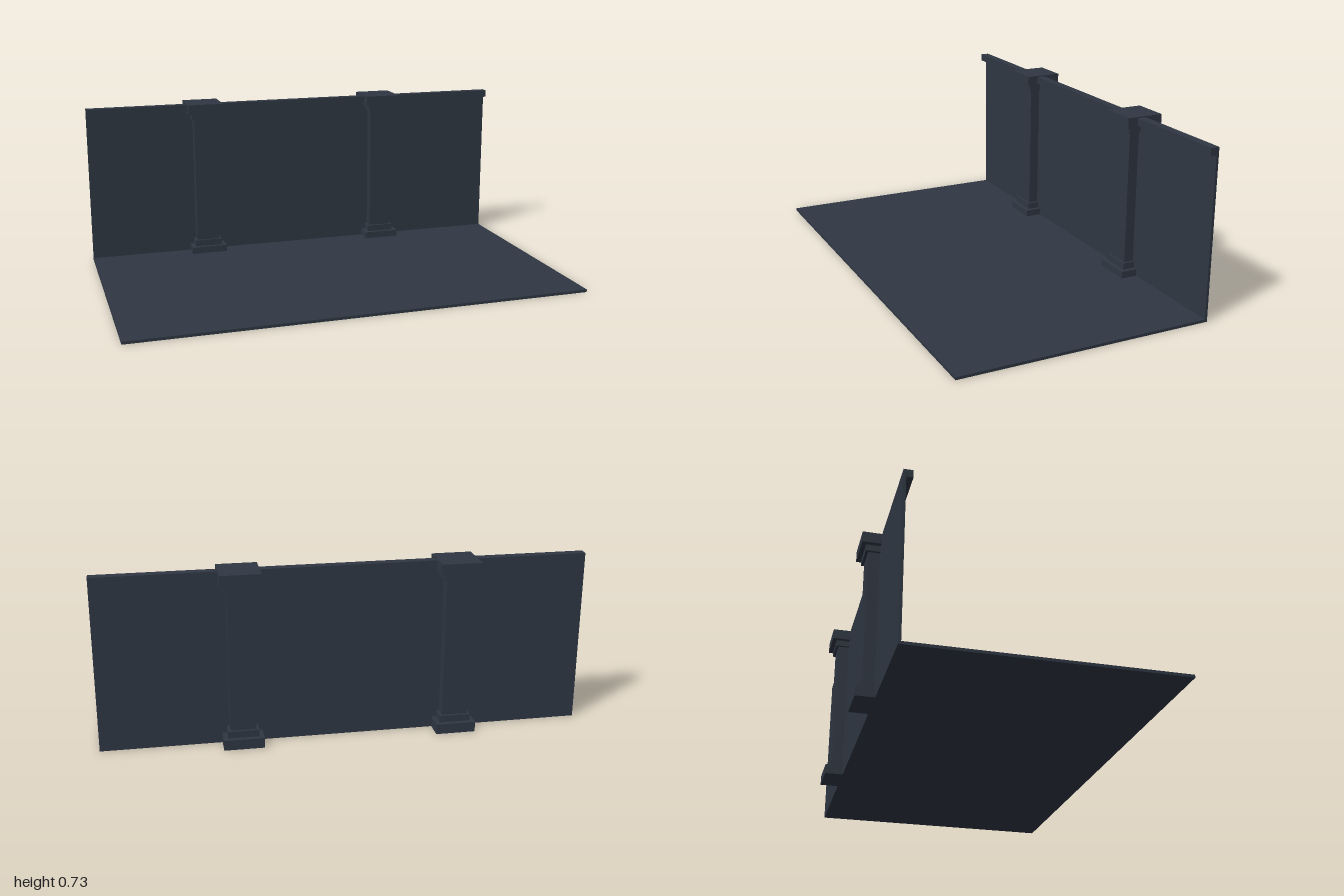
import * as THREE from 'three';

export function createModel() {
  const model = new THREE.Group();
  const slate = new THREE.MeshStandardMaterial({ color: 0x2f3743 });
  slate.name = 'slate';

  // box given by its lower and upper corners
  function box(name, parent, [x0, y0, z0], [x1, y1, z1]) {
    const mesh = new THREE.Mesh(new THREE.BoxGeometry(x1 - x0, y1 - y0, z1 - z0), slate);
    mesh.position.set((x0 + x1) / 2, (y0 + y1) / 2, (z0 + z1) / 2);
    mesh.name = name;
    parent.add(mesh);
  }

  // floor, back wall and the rail along the wall's top
  box('floor', model, [-1, 0, -0.511], [1, 0.012, 0.592]);
  box('wall', model, [-1, 0.012, -0.511], [1, 0.728, -0.5]);
  box('topRail', model, [-1, 0.695, -0.5], [1, 0.728, -0.473]);

  // square column tiers: name, width, bottom, top
  const tiers = [
    ['plinth', 0.165, 0, 0.043],
    ['baseStep', 0.127, 0.043, 0.072],
    ['shaft', 0.105, 0.072, 0.658],
    ['capitalStep', 0.127, 0.658, 0.686],
    ['capital', 0.165, 0.686, 0.733],
  ];
  for (const [side, x] of [['right', -0.455], ['left', 0.425]]) {
    const column = new THREE.Group();
    column.name = side + 'Column';
    column.position.set(x, 0, -0.508);
    for (const [name, width, y0, y1] of tiers) {
      const h = width / 2;
      box(name, column, [-h, y0, -h], [h, y1, h]);
    }
    model.add(column);
  }
  return model;
}
